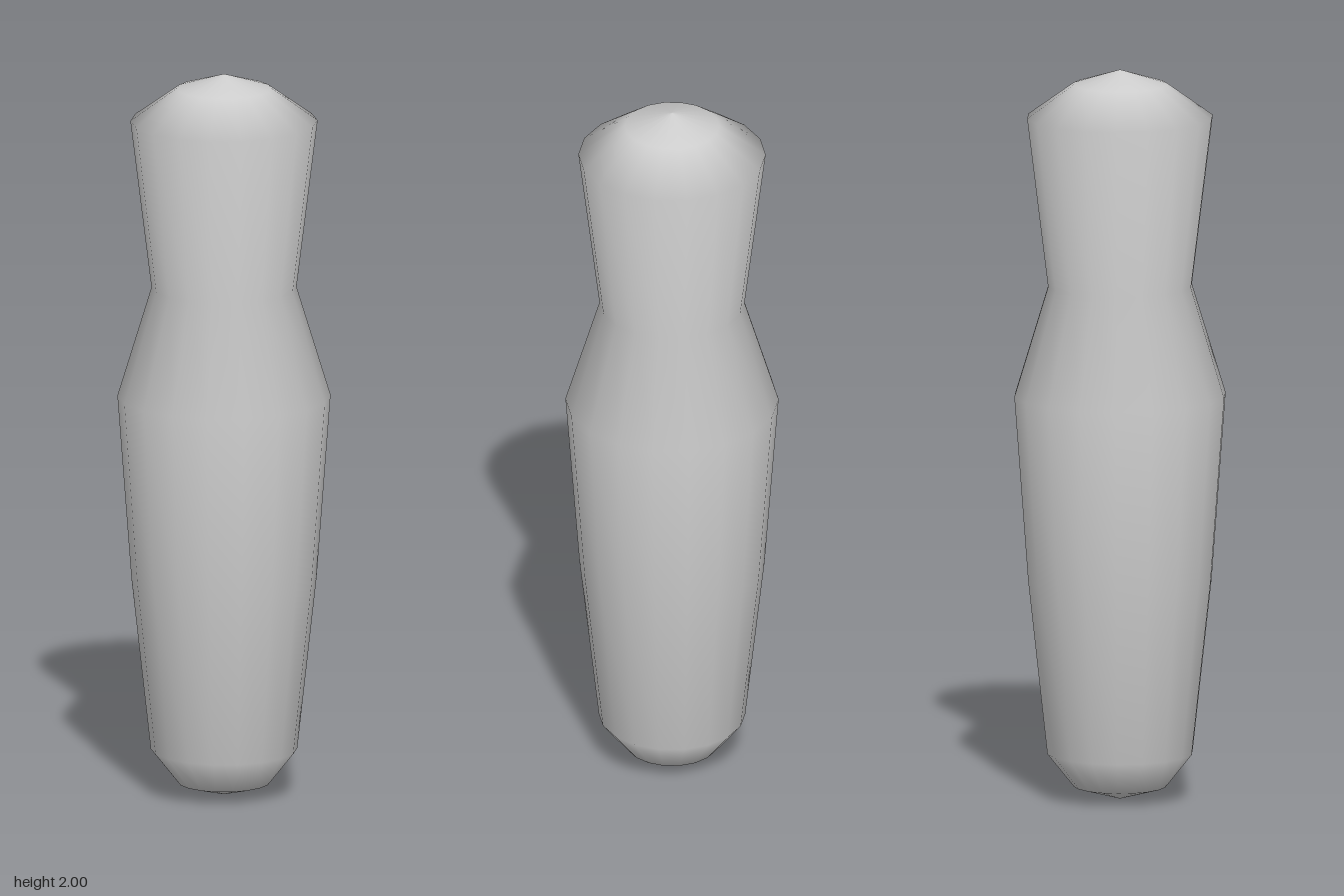
import * as THREE from 'three';

export function createModel() {
  const group = new THREE.Group();
  const material = new THREE.MeshStandardMaterial({ color: 0xcccccc });

  // Turned profile from the rounded foot to the domed top: [radius, height]
  const profile = [
    [0, 0], [0.125, 0.035], [0.198, 0.127], // rounded foot
    [0.25, 0.6], [0.288, 1.108],            // swelling body
    [0.196, 1.408],                         // waist
    [0.253, 1.87],                          // flared rim
    [0.128, 1.96], [0, 2],                  // domed top
  ].map(([r, y]) => new THREE.Vector2(r, y));

  // 18 sides, with a corner on the x axis
  const body = new THREE.Mesh(
    new THREE.LatheGeometry(profile, 18, Math.PI / 2), material);
  body.name = 'turnedBody';
  group.add(body);
  return group;
}
